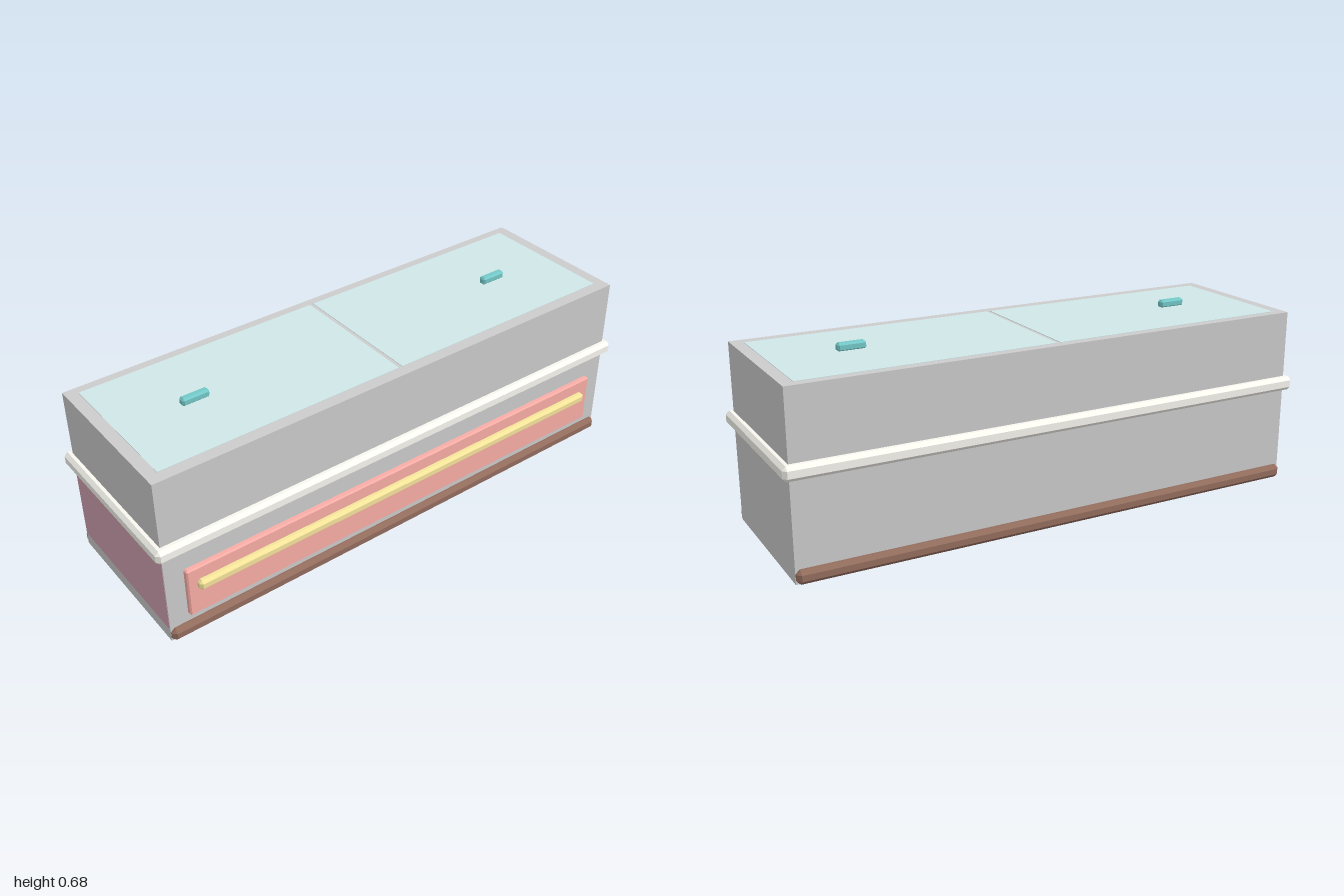
import * as THREE from 'three';
import { ConvexGeometry } from 'three/addons/geometries/ConvexGeometry.js';

const GREY = 0xcccccc, PINK = 0xf9ada6, YELLOW = 0xf4e49a;
const BROWN = 0x936d5e, TEAL = 0x74c8c8, IVORY = 0xf8f7f0, GLASS = 0xcfe6e8;

// Box between two corners, with every edge cut by a flat chamfer c
function chamferBox([x0, y0, z0], [x1, y1, z1], c) {
  const centre = new THREE.Vector3(x0 + x1, y0 + y1, z0 + z1).multiplyScalar(0.5);
  const half = new THREE.Vector3(x1 - x0, y1 - y0, z1 - z0).multiplyScalar(0.5);
  const points = [];
  for (const sx of [-1, 1]) for (const sy of [-1, 1]) for (const sz of [-1, 1]) {
    for (let axis = 0; axis < 3; axis++) {
      const p = half.clone().subScalar(c);
      p.setComponent(axis, half.getComponent(axis));
      points.push(p.multiply(new THREE.Vector3(sx, sy, sz)).add(centre));
    }
  }
  return new ConvexGeometry(points);
}

// Plain box between two corners
function plainBox([x0, y0, z0], [x1, y1, z1]) {
  return new THREE.BoxGeometry(x1 - x0, y1 - y0, z1 - z0)
    .translate((x0 + x1) / 2, (y0 + y1) / 2, (z0 + z1) / 2);
}

export function createModel() {
  const model = new THREE.Group();
  model.name = 'chestFreezer';

  function add(name, color, min, max, chamfer = 0) {
    const geometry = chamfer ? chamferBox(min, max, chamfer) : plainBox(min, max);
    const mesh = new THREE.Mesh(geometry, new THREE.MeshStandardMaterial({ color, flatShading: true }));
    mesh.name = name;
    model.add(mesh);
  }

  // Cabinet
  add('cabinet', GREY, [-0.975, 0, -0.303], [0.975, 0.655, 0.29]);
  add('endPanel', 0xd0a0b0, [-0.976, 0.05, -0.3], [-0.9, 0.36, 0.287]);

  // Plinth and bumper rail running around the cabinet
  add('plinth', BROWN, [-0.974, 0.001, -0.325], [0.974, 0.051, 0.31], 0.014);
  add('bumperRail', IVORY, [-1, 0.355, -0.33], [1, 0.407, 0.315], 0.013);

  // Front panel with its long strip
  add('frontPanel', PINK, [-0.905, 0.084, 0.25], [0.903, 0.276, 0.309], 0.005);
  add('frontStrip', YELLOW, [-0.87, 0.187, 0.292], [0.867, 0.226, 0.33], 0.01);

  // Two glass lids, each with a small grip
  add('glassLidRight', GLASS, [-0.932, 0.645, -0.27], [-0.007, 0.6565, 0.247]);
  add('glassLidLeft', GLASS, [0.007, 0.645, -0.27], [0.932, 0.6565, 0.247]);
  for (const [name, x] of [['gripRight', -0.65], ['gripLeft', 0.645]]) {
    add(name, TEAL, [x - 0.051, 0.653, -0.022], [x + 0.051, 0.683, 0.007], 0.007);
  }

  return model;
}
